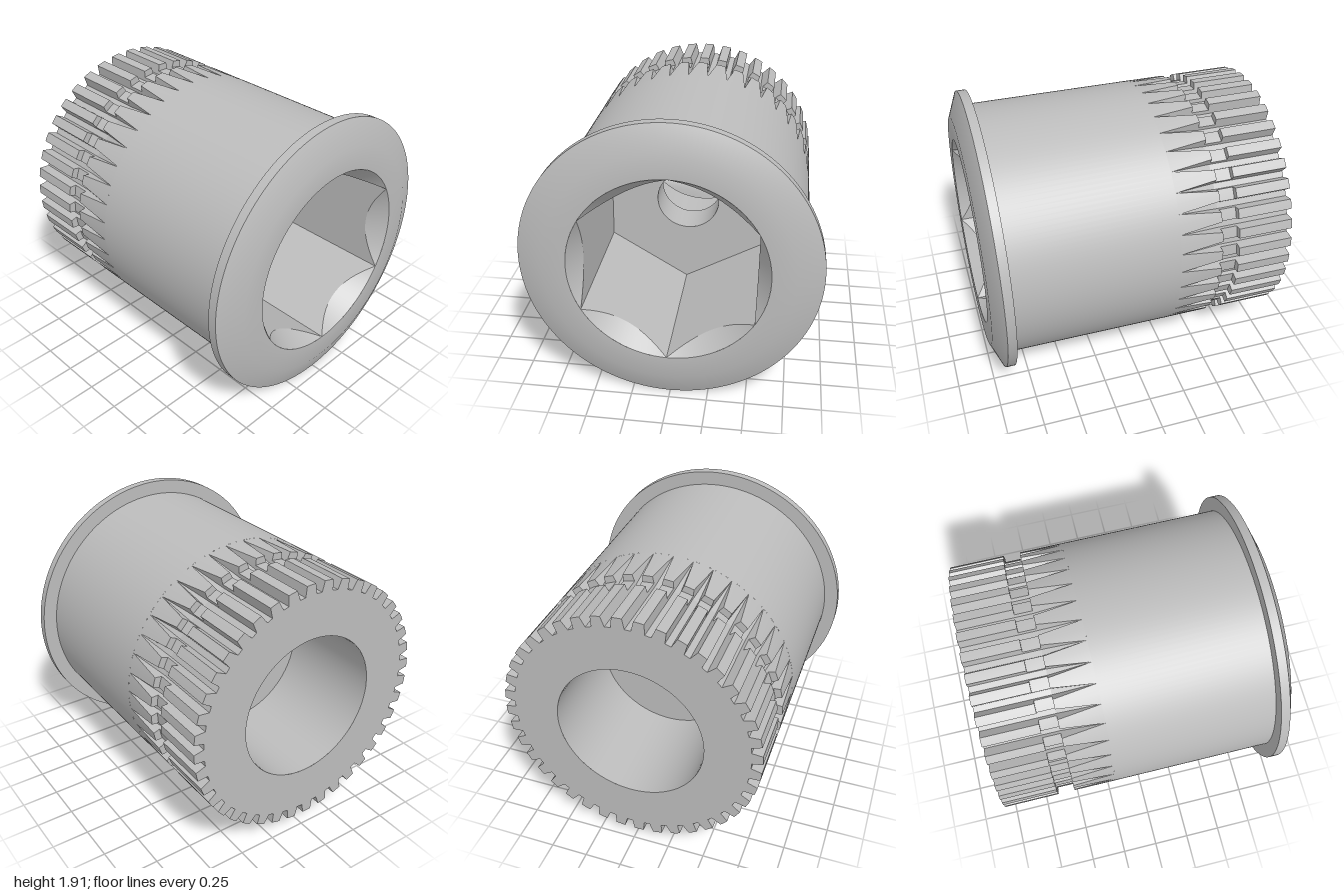
import * as THREE from 'three';
import { toCreasedNormals } from 'three/addons/utils/BufferGeometryUtils.js';

const AXIS_Y = 0.957;
const BODY_R = 0.86;
const ROOT_R = 0.79;
const BORE_R = 0.49;
const HOLE_R = 0.22;
const SOCKET_R = 0.635;
const FLOOR_X = 0;
const WALL_X = -0.25;
const TEETH = 40;
const rad = THREE.MathUtils.degToRad;

// Joins closed rings of [x, radius, angle] points around the x axis.
function loft(rings, crease) {
  const pos = [];
  const point = ([x, r, a]) => new THREE.Vector3(x, r * Math.sin(a), r * Math.cos(a));
  const tri = (a, b, c) => {
    const area = b.clone().sub(a).cross(c.clone().sub(a)).length();
    if (area > 1e-9) for (const p of [a, b, c]) pos.push(p.x, p.y, p.z);
  };
  for (let i = 0; i < rings.length - 1; i++) {
    const n = rings[i].length;
    for (let j = 0; j < n; j++) {
      const k = (j + 1) % n;
      const a = point(rings[i][j]), b = point(rings[i + 1][j]);
      const c = point(rings[i + 1][k]), d = point(rings[i][k]);
      tri(a, b, c);
      tri(a, c, d);
    }
  }
  const g = new THREE.BufferGeometry();
  g.setAttribute('position', new THREE.Float32BufferAttribute(pos, 3));
  return toCreasedNormals(g, crease);
}

// Turned surface from [x, radius] profile points.
function turned(profile, crease, sides = 160) {
  return loft(profile.map(([x, r]) =>
    Array.from({ length: sides }, (_, j) => [x, r, (j / sides) * Math.PI * 2])), crease);
}

// Toothed section: tip and root radii, half widths of each groove at tip and root.
function toothRing(x, tip, root, tipHalf, rootHalf) {
  const ring = [];
  const pitch = (Math.PI * 2) / TEETH;
  for (let i = 0; i < TEETH; i++) {
    const c = rad(-1.8) + i * pitch;
    ring.push([x, tip, c - tipHalf], [x, root, c - rootHalf], [x, root, c + rootHalf],
      [x, tip, c + tipHalf], [x, tip, c + pitch / 2]);
  }
  return ring;
}

export function createModel() {
  const group = new THREE.Group();
  const steel = new THREE.MeshStandardMaterial({ color: 0xbcbcbc });
  steel.name = 'light grey steel';
  const add = (name, geometry) => {
    const mesh = new THREE.Mesh(geometry, steel);
    mesh.name = name;
    mesh.position.y = AXIS_Y;
    group.add(mesh);
  };

  // Toothed end with its ring groove and the run-out of the tooth gaps
  const tipHalf = 0.041, rootHalf = 0.025, neckR = 0.815;
  const neckHalf = THREE.MathUtils.mapLinear(neckR, ROOT_R, BODY_R, rootHalf, tipHalf);
  const full = (x) => toothRing(x, BODY_R, ROOT_R, tipHalf, rootHalf);
  const neck = (x) => toothRing(x, neckR, ROOT_R, neckHalf, rootHalf);
  add('splineTeeth', loft([
    full(-1).map(([x, , a]) => [x, BORE_R, a]),
    full(-1), full(-0.63), neck(-0.63), neck(-0.515), full(-0.515),
    toothRing(-0.23, BODY_R, BODY_R, 0, 0),
  ], 0.2));

  // Plain barrel
  add('barrel', turned([[-0.23, BODY_R], [0.87, BODY_R]], 0.3));

  // Flange with softly sloped front
  add('flange', turned([[0.87, BODY_R], [0.87, 0.957], [0.93, 0.957],
    [1, 0.79], [1, SOCKET_R]], 0.5));

  // Hexagonal socket with a conical lead-in and a pierced floor
  const apothem = SOCKET_R * Math.cos(Math.PI / 6);
  const perSide = 16;
  const hex = Array.from({ length: 6 * perSide }, (_, j) => {
    const local = ((j % perSide) / perSide - 0.5) * (Math.PI / 3);
    return { a: rad(91) + (j / perSide) * (Math.PI / 3), r: apothem / Math.cos(local) };
  });
  add('hexSocket', loft([
    hex.map(({ a }) => [1, SOCKET_R, a]),
    hex.map(({ a, r }) => [1 - (SOCKET_R - r) * 1.5, r, a]),
    hex.map(({ a, r }) => [FLOOR_X, r, a]),
    hex.map(({ a }) => [FLOOR_X, HOLE_R, a]),
  ], 0.3));

  // Through hole and wide rear bore
  add('rearBore', turned([[FLOOR_X, HOLE_R], [WALL_X, HOLE_R],
    [WALL_X, BORE_R], [-1, BORE_R]], 0.3, 96));

  return group;
}
